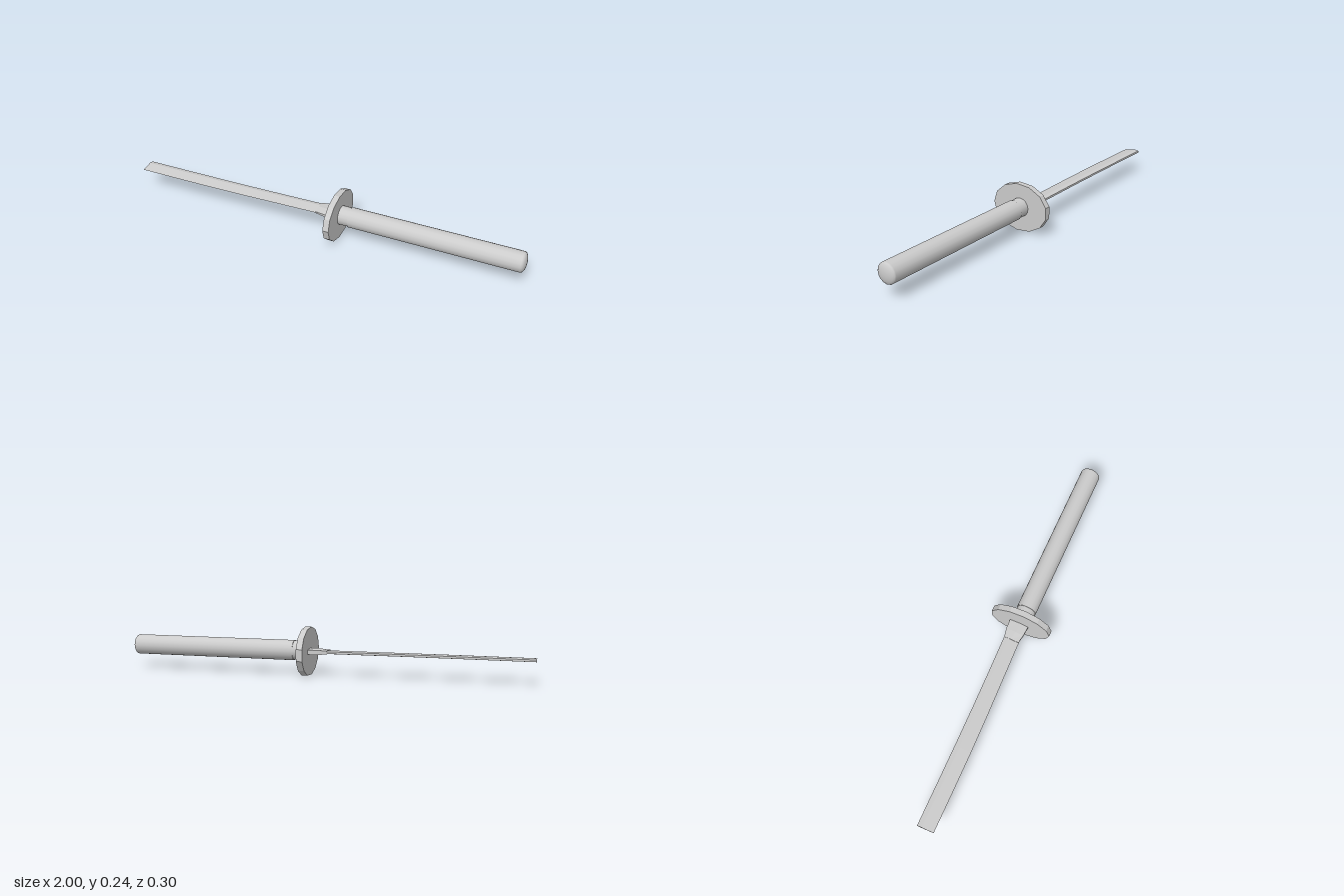
import * as THREE from 'three';

const AXIS_Y = 0.121, AXIS_Z = -0.003;
const smooth = new THREE.MeshStandardMaterial({ color: 0xcccccc });
const flat = new THREE.MeshStandardMaterial({ color: 0xcccccc, flatShading: true });

// Joins equal-sized rings of [x, y, z] points, ordered counter-clockwise seen from +x, and caps both ends
function loft(rings) {
  const n = rings[0].length, index = [];
  for (let r = 0; r < rings.length - 1; r++) {
    for (let i = 0; i < n; i++) {
      const j = (i + 1) % n, a = r * n, b = a + n;
      index.push(a + i, a + j, b + j, a + i, b + j, b + i);
    }
  }
  const last = (rings.length - 1) * n;
  for (let i = 1; i < n - 1; i++) {
    index.push(0, i + 1, i, last, last + i, last + i + 1);
  }
  const geometry = new THREE.BufferGeometry();
  geometry.setAttribute('position', new THREE.Float32BufferAttribute(rings.flat(2), 3));
  geometry.setIndex(index);
  geometry.computeVertexNormals();
  return geometry;
}

// Cylinder lying along x between two positions
function rod(x0, x1, radius, sides, openEnded = false) {
  return new THREE.CylinderGeometry(radius, radius, x1 - x0, sides, 1, openEnded)
    .rotateZ(-Math.PI / 2)
    .translate((x0 + x1) / 2, AXIS_Y, AXIS_Z);
}

export function createModel() {
  const group = new THREE.Group();
  const add = (name, geometry, material) => {
    const mesh = new THREE.Mesh(geometry, material);
    mesh.name = name;
    group.add(mesh);
  };

  // Blade: spine towards -z, ridge, thin cutting edge towards +z, gently curved
  const stations = [ // x, spine z, edge z
    [-1, -0.034, 0.048], [-0.8, -0.034, 0.048], [-0.6, -0.035, 0.047],
    [-0.4, -0.037, 0.043], [-0.2, -0.041, 0.037], [0, -0.046, 0.031],
  ];
  add('blade', loft(stations.map(([x, spine, edge]) => {
    const ridge = spine + (edge - spine) * 0.28;
    return [
      [x, AXIS_Y, edge], [x, AXIS_Y - 0.009, ridge], [x, AXIS_Y - 0.005, spine],
      [x, AXIS_Y + 0.005, spine], [x, AXIS_Y + 0.009, ridge],
    ];
  })), flat);

  // Collar around the root of the blade, widening towards the guard
  add('bladeCollar', loft([
    [-0.022, -0.045, 0.029, 0.010], [0.02, -0.053, 0.037, 0.014], [0.075, -0.055, 0.041, 0.014],
  ].map(([x, back, front, h]) => [
    [x, AXIS_Y - h * 0.4, front], [x, AXIS_Y - h, front - 0.04], [x, AXIS_Y - h * 0.8, back],
    [x, AXIS_Y + h * 0.8, back], [x, AXIS_Y + h, front - 0.04], [x, AXIS_Y + h * 0.4, front],
  ])), flat);

  // Oval guard plate with 13 sides
  const guard = new THREE.CylinderGeometry(1, 1, 0.03, 13)
    .rotateZ(-Math.PI / 2)
    .scale(1, 0.119, 0.154)
    .translate(0.085, 0.119, -0.002);
  add('guard', guard, flat);

  // Ferrule between guard and grip
  add('ferrule', rod(0.1, 0.155, 0.047, 16), smooth);

  // Grip
  add('grip', rod(0.15, 0.98, 0.05, 16, true), smooth);
  const gripFace = new THREE.CircleGeometry(0.05, 16)
    .rotateY(-Math.PI / 2).translate(0.15, AXIS_Y, AXIS_Z);
  add('gripFace', gripFace, smooth);

  // Shallow domed pommel closing the grip
  const pommel = new THREE.SphereGeometry(1, 16, 5, 0, Math.PI * 2, 0, Math.PI / 2)
    .rotateZ(-Math.PI / 2)
    .scale(0.02, 0.05, 0.05)
    .translate(0.98, AXIS_Y, AXIS_Z);
  add('pommel', pommel, smooth);

  return group;
}
